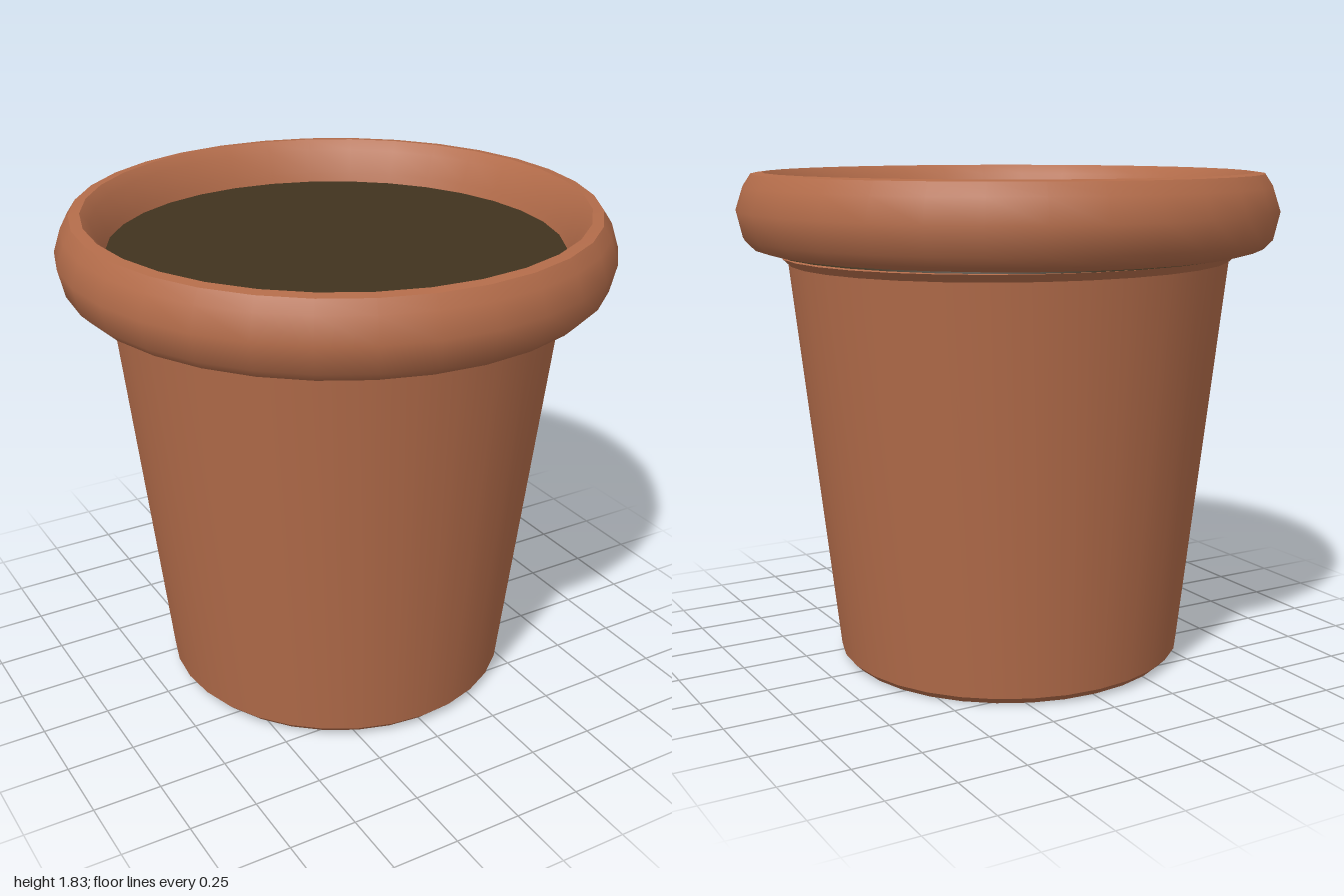
import * as THREE from 'three';
import { toCreasedNormals } from 'three/addons/utils/BufferGeometryUtils.js';

const SIDES = 32;

export function createModel() {
  const pot = new THREE.Group();
  pot.name = 'flowerPot';

  const terracotta = new THREE.MeshStandardMaterial({ color: 0xb36c4a });
  terracotta.name = 'terracotta';
  const earth = new THREE.MeshStandardMaterial({ color: 0x41331f });
  earth.name = 'earth';

  // Turned part from [radius, height] pairs; slopeX and slopeZ set its levels slightly askew
  const turn = (name, profile, material, slopeX = 0, slopeZ = 0) => {
    const points = profile.map(([r, y]) => new THREE.Vector2(r, y));
    const lathe = new THREE.LatheGeometry(points, SIDES);
    const pos = lathe.attributes.position;
    for (let i = 0; i < pos.count; i++) {
      pos.setY(i, pos.getY(i) + slopeX * pos.getX(i) + slopeZ * pos.getZ(i));
    }
    const mesh = new THREE.Mesh(toCreasedNormals(lathe, 0.62), material);
    mesh.name = name;
    pot.add(mesh);
    return mesh;
  };

  // Tapered body with a bevelled foot and a small flare under the rim
  const body = turn('body', [
    [0, 0.008], [0.626, 0.008], [0.652, 0.034], [0.817, 1.512], [0.847, 1.54], [0.82, 1.545],
  ], terracotta, -0.01);
  body.position.x = -0.003;

  // Thick rounded rim, running down its inner wall to the soil
  turn('rim', [
    [0.855, 1.544], [0.88, 1.548], [0.94, 1.565], [0.975, 1.6], [0.998, 1.7], [0.97, 1.785],
    [0.94, 1.83], [0.9, 1.835], [0.868, 1.8], [0.83, 1.715], [0.815, 1.67],
  ], terracotta);

  // Soil plug; its lower edge fills the narrow seam below the rim
  turn('soil', [
    [0.8, 1.547], [0.862, 1.549], [0.822, 1.69], [0, 1.69],
  ], earth, -0.008, 0.008);

  return pot;
}
